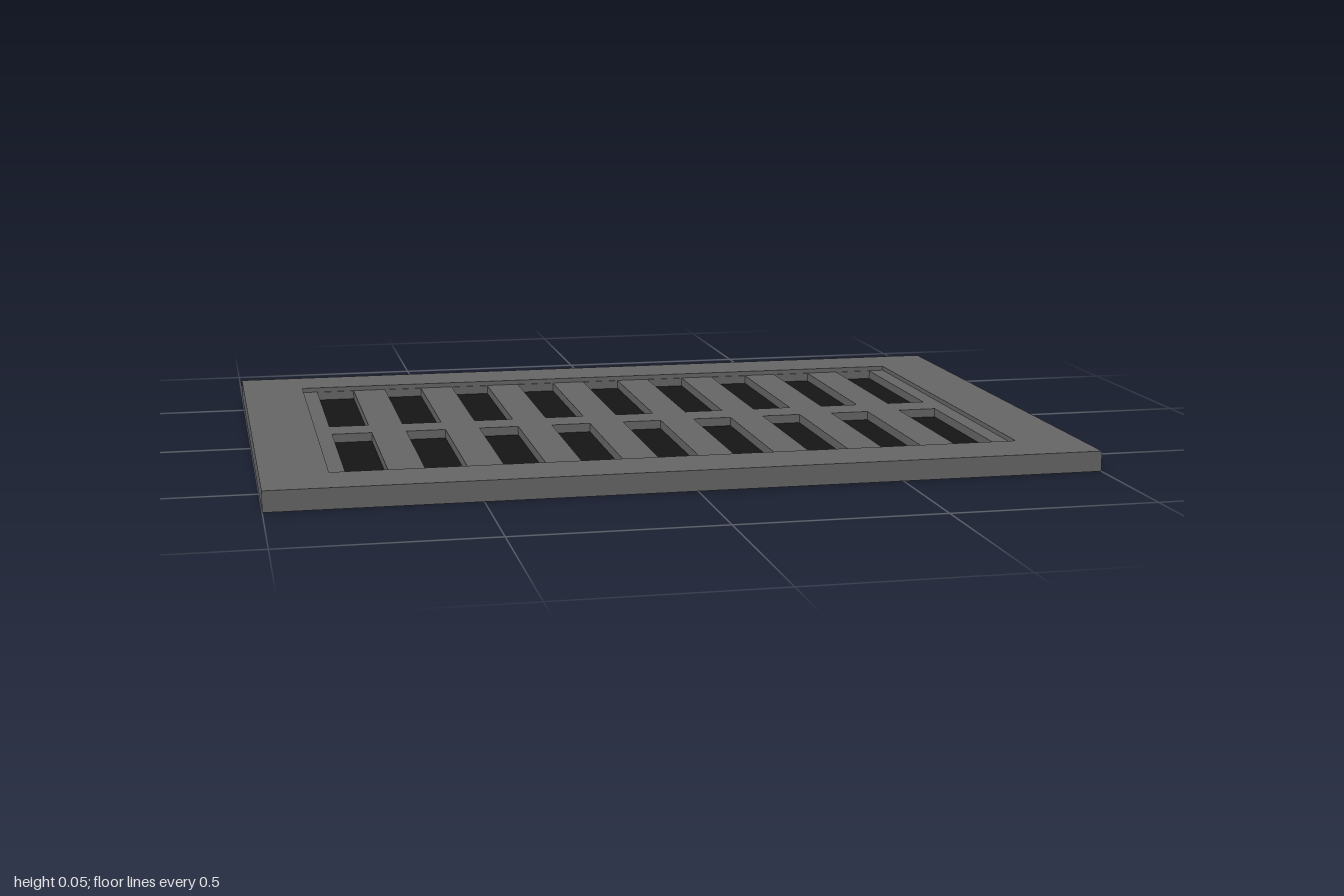
import * as THREE from 'three';

const W = 2, D = 1.36, TOP = 0.05;      // overall size
const OPEN_X = 0.84, OPEN_Z = 0.525;    // opening in the face plate
const grey = new THREE.MeshStandardMaterial({ color: 0x666666 });
const black = new THREE.MeshStandardMaterial({ color: 0x151515 });

// Rectangle outline centred on (cx, cz)
function rect(Type, w, d, cx = 0, cz = 0) {
  const p = new Type();
  p.moveTo(cx - w / 2, cz - d / 2);
  p.lineTo(cx + w / 2, cz - d / 2);
  p.lineTo(cx + w / 2, cz + d / 2);
  p.lineTo(cx - w / 2, cz + d / 2);
  p.closePath();
  return p;
}

// Flat slab with rectangular holes, lying between heights y0 and y1
function slab(name, w, d, holes, y0, y1) {
  const shape = rect(THREE.Shape, w, d);
  shape.holes = holes.map(h => rect(THREE.Path, ...h));
  const geo = new THREE.ExtrudeGeometry(shape, { depth: y1 - y0, bevelEnabled: false });
  geo.rotateX(-Math.PI / 2).translate(0, y0, 0);
  const mesh = new THREE.Mesh(geo, grey);
  mesh.name = name;
  return mesh;
}

function box(name, w, h, d, x, y, z, material = grey) {
  const mesh = new THREE.Mesh(new THREE.BoxGeometry(w, h, d), material);
  mesh.name = name;
  mesh.position.set(x, y, z);
  return mesh;
}

export function createModel() {
  const model = new THREE.Group();
  model.name = 'ventGrille';

  // Face plate with a thin turned-down rim, hollow underneath
  model.add(slab('facePlate', W, D, [[OPEN_X * 2, OPEN_Z * 2]], TOP - 0.01, TOP));
  model.add(slab('outerRim', W, D, [[W - 0.024, D - 0.024]], 0, TOP - 0.01));

  // Recessed grille: two rows of nine slots
  const slots = [];
  for (let i = -4; i <= 4; i++) {
    for (const s of [-1, 1]) slots.push([0.1, 0.475, i * 0.1873, s * 0.285]);
  }
  model.add(slab('slottedGrille', OPEN_X * 2 + 0.02, OPEN_Z * 2 + 0.02, slots, 0.016, TOP - 0.012));

  // Dark backing sheet beneath the slots
  model.add(box('backingSheet', 1.64, 0.004, 1.05, 0, 0.0139, 0, black));

  // Support rails: long pair reaches the rim, short pair closes the ends
  for (const s of [-1, 1]) {
    model.add(box('longRail', W - 0.024, 0.036, 0.015, 0, 0.022, s * (OPEN_Z + 0.0085)));
    model.add(box('endRail', 0.015, 0.036, OPEN_Z * 2, s * (OPEN_X + 0.0085), 0.022, 0));
  }
  return model;
}
